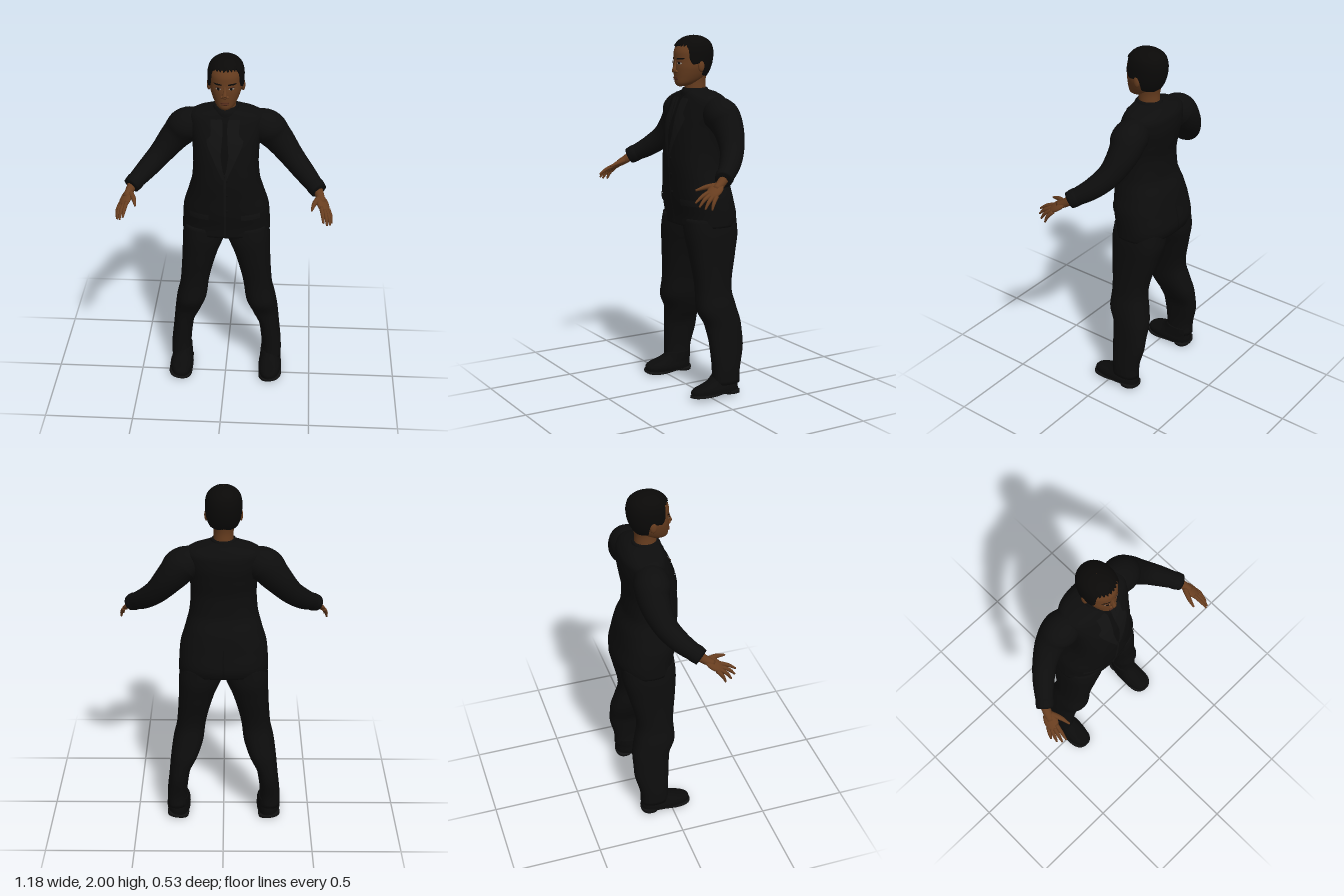
import * as THREE from 'three';

const mat = (name, color, side = THREE.FrontSide) => {
  const m = new THREE.MeshStandardMaterial({ color, side });
  m.name = name;
  return m;
};

// Grid of rows x columns; wrap joins the last column to the first.
function grid(rows, cols, f, wrap = true) {
  const pos = [], idx = [], n = wrap ? cols : cols + 1;
  for (let j = 0; j <= rows; j++) for (let i = 0; i < n; i++) pos.push(...f(i / cols, j / rows, j));
  for (let j = 0; j < rows; j++) for (let i = 0; i < cols; i++) {
    const a = j * n + i, b = j * n + (i + 1) % n;
    idx.push(a, b, b + n, a, b + n, a + n);
  }
  const g = new THREE.BufferGeometry();
  g.setAttribute('position', new THREE.Float32BufferAttribute(pos, 3));
  g.setIndex(idx);
  g.computeVertexNormals();
  return g;
}

// Smooth curve through rows of [t, values...] without overshoot.
function interp(keys, t) {
  const n = keys.length;
  t = Math.min(Math.max(t, keys[0][0]), keys[n - 1][0]);
  let k = 0;
  while (k < n - 2 && t > keys[k + 1][0]) k++;
  const h = keys[k + 1][0] - keys[k][0], s = (t - keys[k][0]) / h;
  return keys[0].slice(1).map((_, c) => {
    const v = i => keys[i][c + 1];
    const d = i => (v(i + 1) - v(i)) / (keys[i + 1][0] - keys[i][0]);
    const m = i => {
      if (i === 0) return d(0);
      if (i === n - 1) return d(n - 2);
      const p = d(i - 1), q = d(i);
      return p * q <= 0 ? 0 : 2 * p * q / (p + q);
    };
    const s2 = s * s, s3 = s2 * s;
    return (2 * s3 - 3 * s2 + 1) * v(k) + (s3 - 2 * s2 + s) * h * m(k) + (3 * s2 - 2 * s3) * v(k + 1) + (s3 - s2) * h * m(k + 1);
  });
}

// Body profile from rows of [y, xMin, xMax, zFront, zBack], with rounded sections.
function profile(keys, e = 0.85) {
  const pw = v => Math.sign(v) * Math.abs(v) ** e;
  const y0 = keys[0][0], y1 = keys[keys.length - 1][0];
  const point = (a, y, off = 0) => {
    const [l, r, zf, zb] = interp(keys, y);
    return [(l + r) / 2 + ((r - l) / 2 + off) * pw(Math.sin(a)), y, (zf + zb) / 2 + ((zf - zb) / 2 + off) * pw(Math.cos(a))];
  };
  const depth = (x, y, side) => {
    const [l, r, zf, zb] = interp(keys, y);
    const u = Math.min(1, Math.abs((x - (l + r) / 2) / ((r - l) / 2)));
    return (zf + zb) / 2 + side * (zf - zb) / 2 * (1 - u ** (2 / e)) ** (e / 2);
  };
  const solid = (rows = 32, cols = 40) => grid(rows + 2, cols, (u, v, j) => {
    const y = y0 + (y1 - y0) * Math.min(Math.max(j - 1, 0), rows) / rows;
    const [l, r, zf, zb] = interp(keys, y);
    return j === 0 || j === rows + 2 ? [(l + r) / 2, y, (zf + zb) / 2] : point(u * Math.PI * 2, y);
  });
  // Thin panel on the surface, from rows of [y, x0, x1].
  const panel = (rows, off = 0.004, side = 1) => grid(12, 8, (u, v) => {
    const y = rows[0][0] + (rows[rows.length - 1][0] - rows[0][0]) * v;
    const [a, b] = interp(rows, y), x = a + (b - a) * u;
    return [x, y, depth(x, y, side) + side * off];
  }, false);
  return { point, solid, panel };
}

// Round limb along a curve, with a radius at each path point.
function limb(points, radii, rows = 24, cols = 20) {
  const curve = new THREE.CatmullRomCurve3(points.map(p => new THREE.Vector3(...p)));
  const fr = curve.computeFrenetFrames(rows);
  const keys = radii.map((r, i) => [i / (radii.length - 1), r]);
  return grid(rows + 2, cols, (u, v, j) => {
    const k = Math.min(Math.max(j - 1, 0), rows), a = u * Math.PI * 2;
    const r = j === 0 || j === rows + 2 ? 0 : interp(keys, k / rows)[0];
    return curve.getPoint(k / rows).addScaledVector(fr.normals[k], r * Math.cos(a)).addScaledVector(fr.binormals[k], r * Math.sin(a)).toArray();
  });
}

function ball(x, y, z, rx, ry, rz) {
  return new THREE.SphereGeometry(1, 20, 14).scale(rx, ry, rz).translate(x, y, z);
}

function mirrored(g) {
  const m = g.clone().scale(-1, 1, 1), ix = m.index.array;
  for (let i = 0; i < ix.length; i += 3) [ix[i + 1], ix[i + 2]] = [ix[i + 2], ix[i + 1]];
  m.computeVertexNormals();
  return m;
}

export function createModel() {
  const model = new THREE.Group();
  model.name = 'suitedMan';
  const D = THREE.DoubleSide;
  const suit = mat('suitBlack', 0x0d0d0d, D), trim = mat('lapelBlack', 0x111111, D), shoe = mat('shoeBlack', 0x0b0b0b, D);
  const skin = mat('skinBrown', 0x673d1f), lip = mat('lipBrown', 0x522b1a, D), hairM = mat('hairBlack', 0x0a0908, D);
  const white = mat('eyeWhite', 0x8f8579, D);
  const add = (name, g, m) => {
    const mesh = new THREE.Mesh(g, m);
    mesh.name = name;
    model.add(mesh);
  };
  const pair = (name, g, m) => { add(name + 'Left', g, m); add(name + 'Right', mirrored(g), m); };
  const sym = rows => rows.map(([y, w, f, b]) => [y, -w, w, f, b]);

  // Jacket body
  const torso = profile(sym([
    [0.955, 0.248, 0.07, -0.25], [1.0, 0.247, 0.072, -0.263], [1.1, 0.24, 0.09, -0.245], [1.2, 0.212, 0.098, -0.225],
    [1.3, 0.187, 0.105, -0.19], [1.4, 0.18, 0.1, -0.185], [1.5, 0.185, 0.085, -0.2], [1.58, 0.2, 0.06, -0.21],
    [1.64, 0.205, 0.035, -0.205], [1.67, 0.185, 0.02, -0.185], [1.69, 0.11, 0.01, -0.165], [1.702, 0.065, 0, -0.13]]));
  add('jacket', torso.solid(60, 56), suit);
  add('shirtFront', torso.panel([[1.36, -0.003, 0.003], [1.5, -0.03, 0.03], [1.66, -0.045, 0.045]], 0.002), trim);
  add('tie', torso.panel([[1.37, -0.002, 0.002], [1.44, -0.022, 0.022], [1.62, -0.012, 0.012], [1.635, -0.012, 0.012], [1.67, -0.022, 0.022]], 0.007), shoe);
  pair('lapel', torso.panel([[1.34, 0, 0.012], [1.45, 0.018, 0.06], [1.56, 0.03, 0.1], [1.585, 0.034, 0.075], [1.66, 0.045, 0.08]], 0.008), trim);
  add('frontOverlap', torso.panel([[0.965, -0.004, 0.008], [1.34, -0.004, 0.008]], 0.005), trim);
  pair('pocketFlap', torso.panel([[1.075, 0.09, 0.195], [1.11, 0.09, 0.195]], 0.006), trim);
  add('backVent', torso.panel([[0.96, -0.006, 0.006], [1.13, -0.003, 0.003]], 0.003, -1), shoe);
  for (const y of [1.14, 1.24, 1.33]) add('jacketButton', ball(0.012, y, 0.104 - (1.33 - y) * 0.05, 0.008, 0.008, 0.006), shoe);

  // Collar and neck
  add('collar', profile(sym([[1.66, 0.085, 0.022, -0.15], [1.69, 0.074, 0.02, -0.14], [1.712, 0.064, 0.006, -0.13]]), 1).solid(8), suit);
  add('neck', profile(sym([[1.67, 0.056, -0.002, -0.122], [1.74, 0.053, 0.0, -0.12], [1.8, 0.06, 0, -0.13]]), 1).solid(10), skin);

  // Head
  const head = profile(sym([
    [1.722, 0.012, 0.045, 0.015], [1.73, 0.035, 0.056, -0.03], [1.745, 0.051, 0.062, -0.07], [1.77, 0.066, 0.064, -0.108],
    [1.8, 0.078, 0.066, -0.13], [1.83, 0.086, 0.067, -0.143], [1.86, 0.089, 0.065, -0.151], [1.9, 0.09, 0.064, -0.155],
    [1.94, 0.083, 0.051, -0.148], [1.965, 0.067, 0.03, -0.132], [1.982, 0.045, 0.003, -0.108], [1.99, 0.026, -0.02, -0.085], [1.994, 0.001, -0.05, -0.052]]), 0.95);
  add('head', head.solid(48, 48), skin);
  pair('ear', ball(0.092, 1.835, -0.045, 0.011, 0.032, 0.019), skin);
  add('noseBridge', limb([[0, 1.868, 0.058], [0, 1.835, 0.066], [0, 1.808, 0.073]], [0.006, 0.009, 0.013], 10, 14), skin);
  add('noseTip', ball(0, 1.808, 0.073, 0.013, 0.011, 0.012), skin);
  pair('nostril', ball(0.014, 1.804, 0.065, 0.009, 0.008, 0.009), skin);
  add('upperLip', ball(0, 1.771, 0.063, 0.025, 0.005, 0.007), lip);
  add('lowerLip', ball(0, 1.762, 0.062, 0.022, 0.006, 0.007), lip);
  pair('eye', head.panel([[1.843, 0.031, 0.037], [1.85, 0.02, 0.05], [1.857, 0.03, 0.04]], 0.002), white);
  pair('iris', head.panel([[1.843, 0.032, 0.036], [1.85, 0.027, 0.041], [1.857, 0.03, 0.038]], 0.004), hairM);
  pair('eyelid', head.panel([[1.855, 0.018, 0.052], [1.861, 0.022, 0.048]], 0.004), lip);
  pair('eyebrow', head.panel([[1.87, 0.016, 0.05], [1.875, 0.016, 0.06], [1.879, 0.03, 0.06]], 0.003), hairM);

  // Hair cap with a ragged fringe, sideburns and a low nape
  const hairline = [[0, 1.945], [0.6, 1.947], [0.88, 1.935], [1.0, 1.87], [1.2, 1.845], [1.55, 1.85], [1.75, 1.84], [1.95, 1.785], [Math.PI, 1.77]];
  add('hair', grid(24, 96, (u, v, j) => {
    const a = u * Math.PI * 2, d = Math.min(a, Math.PI * 2 - a);
    const low = interp(hairline, d)[0] + (d < 0.9 ? 0.007 * Math.sin(u * 182) : 0);
    const s = Math.sin(Math.max(0, j - 1) / 23 * Math.PI / 2);
    const p = head.point(a, low + (1.994 - low) * s, j === 0 ? -0.003 : 0.009 * (1 - s ** 8));
    p[1] += 0.006 * s;
    return p;
  }), hairM);

  // Sleeves with cuffs
  pair('sleeve', limb([[0.13, 1.588, -0.09], [0.215, 1.573, -0.095], [0.285, 1.5, -0.1], [0.365, 1.405, -0.07], [0.435, 1.338, -0.012], [0.512, 1.277, 0.075]],
    [0.075, 0.098, 0.083, 0.066, 0.057, 0.043], 40, 28), suit);
  pair('cuff', limb([[0.478, 1.303, 0.036], [0.495, 1.29, 0.056], [0.515, 1.274, 0.079]], [0.046, 0.05, 0.046], 6, 24), suit);

  // Hands
  const wrist = new THREE.Vector3(0.51, 1.275, 0.075), knuckle = new THREE.Vector3(0.552, 1.2, 0.185);
  const along = knuckle.clone().sub(wrist).normalize();
  const across = new THREE.Vector3(0.75, -0.25, -0.45);
  across.addScaledVector(along, -across.dot(along)).normalize();
  const basis = new THREE.Matrix4().makeBasis(across, along, across.clone().cross(along));
  basis.setPosition(wrist.clone().lerp(knuckle, 0.62));
  pair('palm', new THREE.SphereGeometry(1, 20, 14).scale(0.038, 0.062, 0.017).applyMatrix4(basis), skin);
  pair('wrist', limb([wrist.toArray(), [0.52, 1.256, 0.1], [0.535, 1.232, 0.14]], [0.026, 0.024, 0.02], 8, 16), skin);
  const fingers = [
    [[0.528, 1.222, 0.175], [0.535, 1.203, 0.222], [0.54, 1.175, 0.263]],
    [[0.545, 1.21, 0.178], [0.555, 1.188, 0.22], [0.56, 1.155, 0.252]],
    [[0.558, 1.205, 0.168], [0.571, 1.178, 0.203], [0.577, 1.143, 0.227]],
    [[0.566, 1.203, 0.152], [0.581, 1.172, 0.178], [0.587, 1.137, 0.192]]];
  fingers.forEach((p, i) => pair('finger' + (i + 1), limb(p, [0.012, 0.01, 0.005], 10, 10), skin));
  pair('thumb', limb([[0.515, 1.25, 0.115], [0.49, 1.242, 0.17], [0.476, 1.227, 0.224]], [0.017, 0.013, 0.005], 10, 12), skin);

  // Trousers
  pair('trouserLeg', profile([
    [0.075, 0.213, 0.328, -0.02, -0.182], [0.12, 0.213, 0.328, -0.02, -0.182], [0.3, 0.195, 0.312, -0.01, -0.215],
    [0.4, 0.15, 0.302, 0.0, -0.215], [0.5, 0.115, 0.288, 0.04, -0.195], [0.6, 0.102, 0.266, 0.036, -0.175],
    [0.8, 0.05, 0.252, 0.055, -0.215], [0.92, 0.002, 0.248, 0.065, -0.24], [1.0, -0.02, 0.235, 0.06, -0.24]]).solid(44, 36), suit);

  // Shoes, tilted slightly with the spread legs
  const tilt = g => g.translate(-0.2, 0, 0).rotateZ(0.13).translate(0.2, 0, 0);
  pair('shoe', tilt(profile([
    [0.012, 0.203, 0.333, 0.112, -0.178], [0.035, 0.202, 0.334, 0.113, -0.178], [0.052, 0.206, 0.33, 0.098, -0.176],
    [0.064, 0.211, 0.325, 0.06, -0.174], [0.085, 0.216, 0.32, 0.005, -0.172], [0.12, 0.224, 0.314, -0.03, -0.168]]).solid(20, 36)), shoe);
  pair('sole', tilt(profile([[0.006, 0.2, 0.336, 0.117, -0.06], [0.018, 0.199, 0.337, 0.118, -0.181]]).solid(3, 36)), trim);
  pair('heel', tilt(profile([[0, 0.206, 0.33, -0.08, -0.18], [0.018, 0.204, 0.332, -0.08, -0.181]]).solid(3, 28)), trim);
  return model;
}
